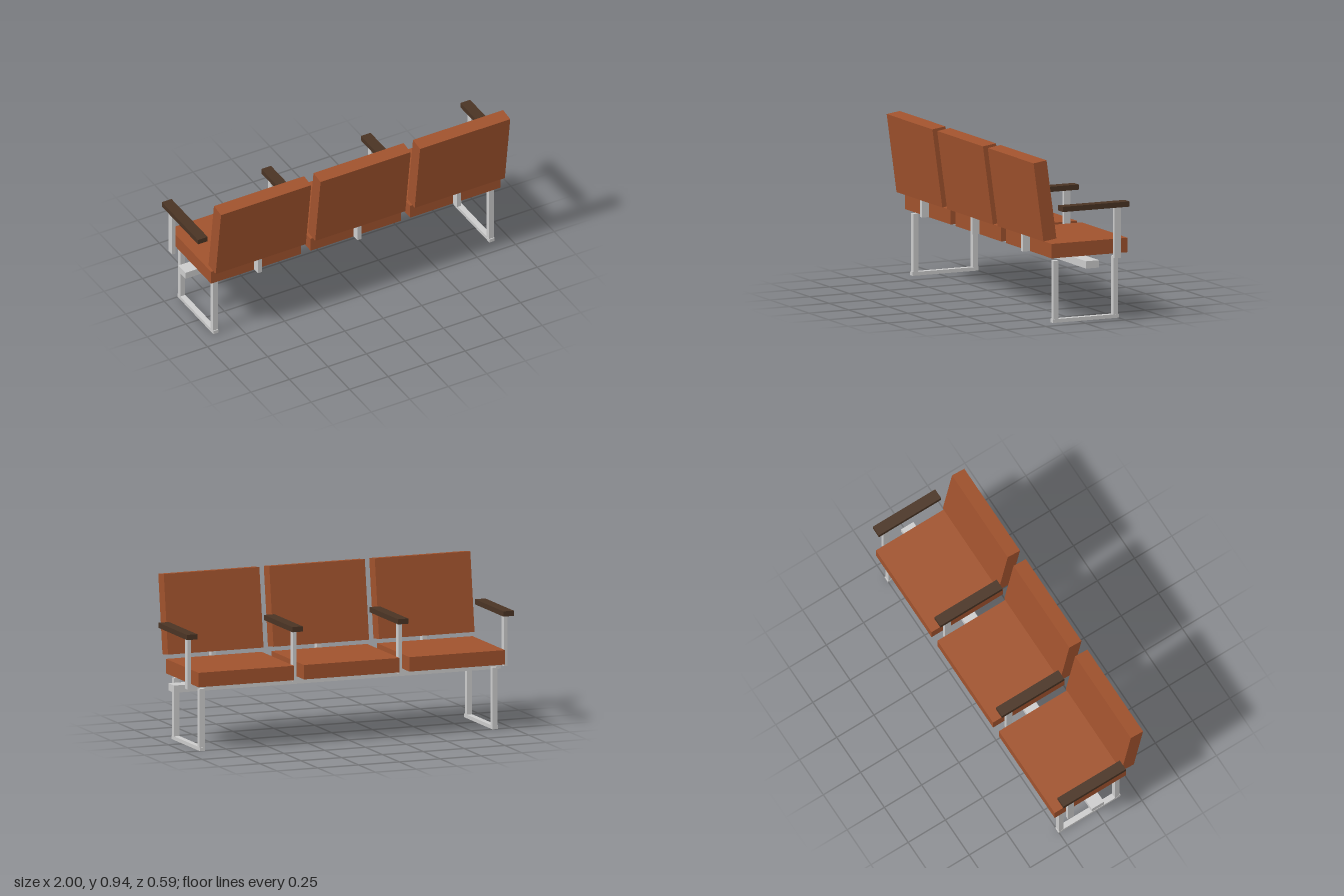
import * as THREE from 'three';

const metal = new THREE.MeshStandardMaterial({ color: 0xcccccc });
const leather = new THREE.MeshStandardMaterial({ color: 0xa0522d });
const wood = new THREE.MeshStandardMaterial({ color: 0x4a3424 });

// Box given by its centre x, width, and y and z ranges
function bar(name, material, x, width, [y0, y1], [z0, z1]) {
  const mesh = new THREE.Mesh(new THREE.BoxGeometry(width, y1 - y0, z1 - z0), material);
  mesh.position.set(x, (y0 + y1) / 2, (z0 + z1) / 2);
  mesh.name = name;
  return mesh;
}

function createSeat(x) {
  const seat = new THREE.Group();
  seat.name = 'seat';
  // Reclined backrest cushion
  const backrest = new THREE.Mesh(new THREE.BoxGeometry(0.585, 0.457, 0.083), leather);
  backrest.name = 'backrest';
  backrest.position.set(0, 0.709, 0.2245);
  backrest.rotation.x = 0.137;
  seat.add(
    backrest,
    bar('cushion', leather, 0, 0.585, [0.376, 0.459], [-0.297, 0.182]),
    bar('backrestPost', metal, 0, 0.026, [0.376, 0.49], [0.182, 0.224])
  );
  seat.position.x = x;
  return seat;
}

function createArmrest(x) {
  const arm = new THREE.Group();
  arm.name = 'armrest';
  arm.add(
    bar('armPad', wood, 0, 0.063, [0.648, 0.678], [-0.277, 0.141]),
    bar('armPost', metal, 0, 0.021, [0.355, 0.648], [-0.234, -0.194])
  );
  arm.position.x = x;
  return arm;
}

function createLegFrame(x) {
  const frame = new THREE.Group();
  frame.name = 'legFrame';
  frame.add(
    bar('leg', metal, 0, 0.031, [0.02, 0.355], [0.126, 0.156]),
    bar('leg', metal, 0, 0.031, [0.02, 0.355], [-0.25, -0.22]),
    bar('footRail', metal, 0, 0.033, [0, 0.021], [-0.254, 0.162])
  );
  frame.position.x = x;
  return frame;
}

export function createModel() {
  const bench = new THREE.Group();
  bench.name = 'bench';
  const pitch = 0.646;

  // Long beam under the seats
  bench.add(bar('beam', metal, 0, 2, [0.313, 0.355], [-0.087, -0.005]));

  for (let i = -1; i <= 1; i++) bench.add(createSeat(i * pitch));
  for (let i = 0; i < 4; i++) bench.add(createArmrest((i - 1.5) * pitch));
  for (const side of [-1, 1]) bench.add(createLegFrame(side * 0.896));
  return bench;
}
